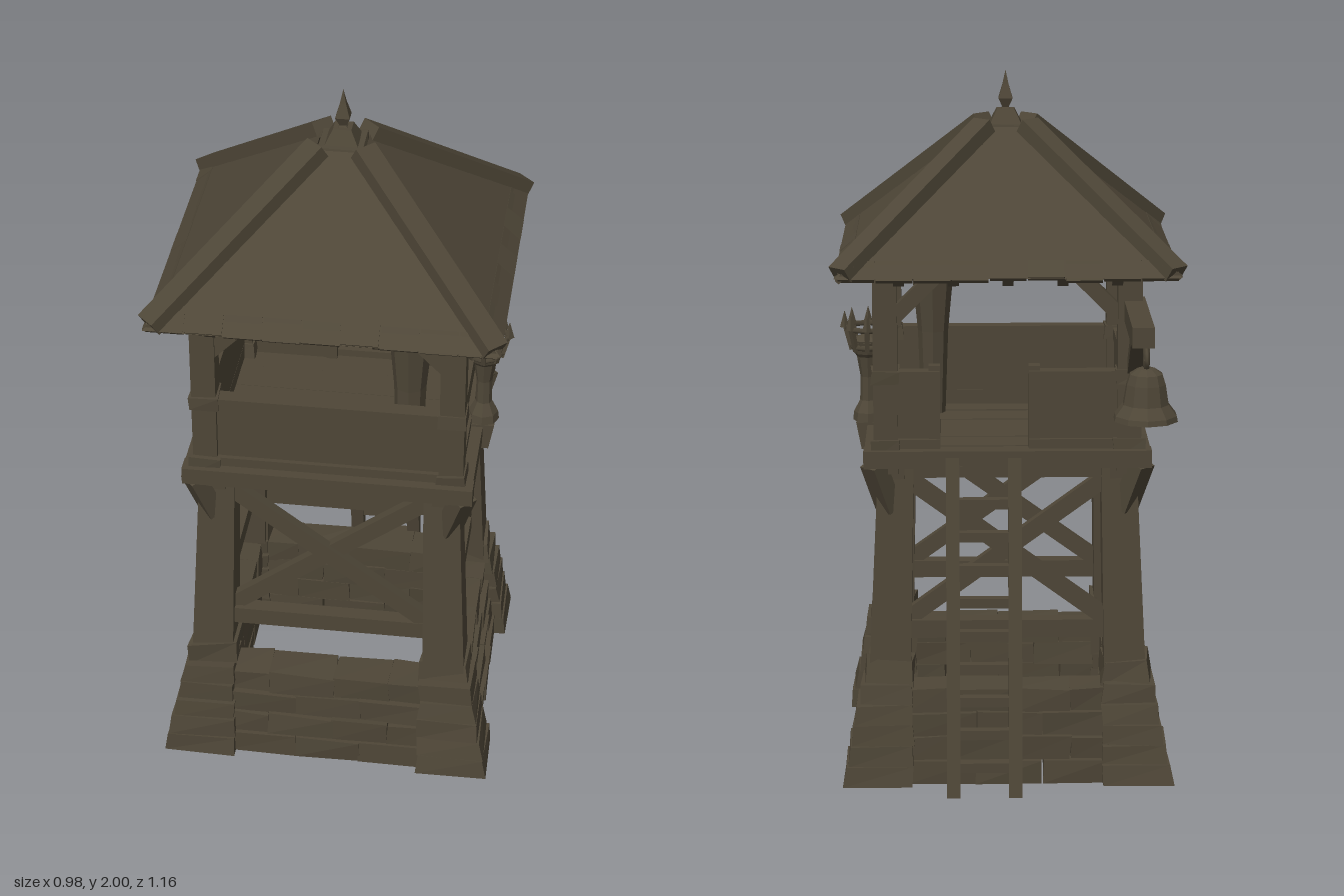
import * as THREE from 'three';

const K = 0.875; // the tower is slightly shallower than it is wide

export function createModel() {
  const timber = new THREE.MeshStandardMaterial({ color: 0x4e4637, side: THREE.DoubleSide });
  timber.name = 'weatheredBrown';
  const tower = new THREE.Group();
  tower.name = 'watchtower';

  let seed = 7;
  const rnd = () => { seed = (seed * 16807) % 2147483647; return seed / 2147483647 - 0.5; };
  const V = (x, y, z) => new THREE.Vector3(x, y, z);
  const add = (name, geo) => {
    const m = new THREE.Mesh(geo, timber);
    m.name = name;
    tower.add(m);
    return m;
  };
  const flat = (geo) => {
    const g = geo.index ? geo.toNonIndexed() : geo;
    g.computeVertexNormals();
    return g;
  };
  // Point on one of four sides: u along the side, o outward
  const at = (s, u, y, o, k = K) =>
    [V(u, y, o * k), V(o, y, -u * k), V(-u, y, -o * k), V(-o, y, u * k)][s];

  // Square timber from a to b
  const beam = (name, a, b, w = 0.05, h = w) => {
    const m = add(name, new THREE.BoxGeometry(w, h, a.distanceTo(b)));
    m.position.copy(a).add(b).multiplyScalar(0.5);
    m.lookAt(b);
    return m;
  };
  // Rough block tapering between two rectangles [cx, cz, width, depth]
  const block = (name, y0, y1, b, t = b, jitter = 0) => {
    const g = new THREE.BoxGeometry(1, 1, 1);
    const p = g.attributes.position;
    const off = Array.from({ length: 8 }, () => [rnd() * jitter, rnd() * jitter, rnd() * jitter]);
    for (let i = 0; i < p.count; i++) {
      const x = p.getX(i), y = p.getY(i), z = p.getZ(i);
      const r = y > 0 ? t : b;
      const o = off[(x > 0 ? 1 : 0) + (y > 0 ? 2 : 0) + (z > 0 ? 4 : 0)];
      p.setXYZ(i, r[0] + x * r[2] + o[0], (y > 0 ? y1 : y0) + (y0 > 0 ? o[1] : 0), r[1] + z * r[3] + o[2]);
    }
    return add(name, flat(g));
  };
  const lathe = (name, pts, n, x, y, z) => {
    const m = add(name, flat(new THREE.LatheGeometry(pts.map((q) => new THREE.Vector2(...q)), n)));
    m.position.set(x, y, z);
    return m;
  };

  // Corner parts
  for (const sx of [-1, 1]) for (const sz of [-1, 1]) {
    // Stone piers in battered courses
    for (let i = 0; i < 5; i++) {
      const rect = (y) => {
        const outer = 0.472 - y * 0.2, inner = 0.27;
        const c = (outer + inner) / 2, w = outer - inner;
        return [sx * c, sz * c * 0.905, w, w * 0.905];
      };
      block('stonePier', i * 0.058, (i + 1) * 0.058, rect(i * 0.058), rect((i + 0.8) * 0.058), 0.01);
    }
    block('stoneCollar', 0.28, 0.35, [sx * 0.342, sz * 0.342 * K, 0.135, 0.125],
      [sx * 0.336, sz * 0.336 * K, 0.125, 0.115], 0.022);
    // Leaning legs and upper posts
    block('leg', 0.28, 0.93, [sx * 0.337, sz * 0.292, 0.12, 0.115], [sx * 0.315, sz * 0.258, 0.1, 0.095]);
    block('upperPost', 0.9, 1.52, [sx * 0.342, sz * 0.294, 0.068, 0.066]);
    block('postFoot', 0.94, 1.0, [sx * 0.342, sz * 0.294, 0.085, 0.085], undefined, 0.01);
    block('postBand', 1.16, 1.2, [sx * 0.342, sz * 0.294, 0.08, 0.08], undefined, 0.006);
    // Brackets that carry the deck
    beam('deckBracket', V(sx * 0.335, 0.79, sz * 0.285), V(sx * 0.378, 0.93, sz * 0.325), 0.06, 0.05);
    // Roof hips
    beam('roofHip', V(sx * 0.46, 1.494, sz * 0.437), V(sx * 0.06, 1.85, sz * 0.057), 0.065, 0.045);
  }

  // Parts repeated on the four sides
  for (let s = 0; s < 4; s++) {
    const odd = s % 2;
    // Stone wall between the piers
    for (let r = 0; r < 4; r++) {
      const cuts = r % 2 ? [-0.29, -0.17, 0.02, 0.18, 0.29] : [-0.29, -0.09, 0.1, 0.29];
      for (let i = 0; i + 1 < cuts.length; i++) {
        const y0 = r * 0.068, outer = 0.438 - r * 0.013, inner = 0.29;
        const c = at(s, (cuts[i] + cuts[i + 1]) / 2, 0, (outer + inner) / 2, 0.905);
        const w = cuts[i + 1] - cuts[i], d = outer - inner;
        block('wallStone', y0, y0 + 0.069, [c.x, c.z, odd ? d : w, odd ? w * 0.905 : d], undefined, 0.009);
      }
    }
    // Lower tie and cross bracing
    beam('tieBeam', at(s, -0.32, 0.438, 0.335), at(s, 0.32, 0.438, 0.335), 0.045, 0.052);
    beam('crossBrace', at(s, -0.285, 0.88, 0.327), at(s, 0.285, 0.465, 0.342), 0.03, 0.048);
    beam('crossBrace', at(s, 0.285, 0.88, 0.312), at(s, -0.285, 0.465, 0.327), 0.03, 0.048);
    // Deck edge
    beam('deckBeam', at(s, -0.405, 0.948, 0.375), at(s, 0.405, 0.948, 0.375), 0.055, 0.05);
    beam('deckJoist', at(s, -0.36, 0.905, 0.315), at(s, 0.36, 0.905, 0.315), 0.05, 0.045);
    // Parapet, open at the back where the ladder arrives
    const spans = s === 2 ? [[-0.33, -0.19], [0.06, 0.33]] : [[-0.33, 0.33]];
    for (const [u0, u1] of spans) {
      beam('parapetBoard', at(s, u0, 1.065, 0.343), at(s, u1, 1.065, 0.343), 0.025, 0.23);
      beam('parapetRail', at(s, u0, 1.178, 0.35), at(s, u1, 1.178, 0.35), 0.045, 0.036);
      beam('parapetSill', at(s, u0, 0.985, 0.35), at(s, u1, 0.985, 0.35), 0.04, 0.03);
    }
    // Wall plate and knee braces under the roof
    beam('wallPlate', at(s, -0.37, 1.495, 0.342), at(s, 0.37, 1.495, 0.342), 0.055, 0.05);
    for (const e of [-1, 1])
      beam('kneeBrace', at(s, e * 0.325, 1.34, 0.342), at(s, e * 0.18, 1.485, 0.342), 0.04, 0.042);
    // Rafters
    for (const u of [-0.3, -0.15, 0, 0.15, 0.3]) {
      const end = Math.max(Math.abs(u), 0.06);
      beam('rafter', at(s, u, 1.468, 0.45, 0.95), at(s, u, 1.468 + (0.45 - end) * 0.877, end, 0.95), 0.03);
    }
  }
  // Posts either side of the ladder opening
  for (const x of [-0.075, 0.205]) block('gatePost', 0.93, 1.21, [x, -0.3, 0.032, 0.036]);

  // Deck planks
  for (let i = 0; i < 6; i++)
    block('deckPlank', 0.928, 0.953 + rnd() * 0.006, [0, -0.265 + i * 0.106, 0.74, 0.103]);

  // Overlapping roof courses
  const roofY = (h) => 1.488 + (0.472 - h) * 0.877;
  const rows = 8;
  for (let i = 0; i < rows; i++) {
    const h0 = 0.472 - (i * 0.402) / rows, h1 = h0 - 0.402 / rows;
    const y0 = roofY(h0) - 0.004, y1 = roofY(h1) + 0.004;
    const g = new THREE.CylinderGeometry((h1 - 0.004) * Math.SQRT2, (h0 + 0.004) * Math.SQRT2, y1 - y0, 4, 1, true);
    g.rotateY(Math.PI / 4).scale(1, 1, 0.95);
    add('roofCourse', flat(g)).position.y = (y0 + y1) / 2;
  }
  // Ragged shingle ends along the eaves
  for (let s = 0; s < 4; s++) for (let i = 0; i < 9; i++) {
    const u = -0.416 + i * 0.104, drop = rnd() * 0.012;
    beam('eaveShingle', at(s, u, 1.478 + drop, 0.47 + drop / 2, 0.95), at(s, u, 1.522, 0.425, 0.95), 0.1, 0.014);
  }

  // Roof cap and finial
  block('roofCap', 1.81, 1.85, [0, 0, 0.14, 0.136], [0, 0, 0.12, 0.116], 0.006);
  block('roofCapTop', 1.85, 1.89, [0, 0, 0.09, 0.088], [0, 0, 0.05, 0.05]);
  lathe('finial', [[0.03, 0], [0.013, 0.02], [0.028, 0.045], [0.012, 0.085], [0, 0.125]], 4, 0, 1.875, 0)
    .rotation.y = Math.PI / 4;

  // Ladder
  const lad = (x, t) => V(x, 0.005 + t * 0.945, -0.517 + t * 0.182);
  for (const x of [-0.02, 0.155]) beam('ladderRail', lad(x, 0), lad(x, 1), 0.038, 0.042);
  for (let i = 0; i < 10; i++) {
    const t = 0.09 + i * 0.097;
    beam('ladderRung', lad(-0.025, t), lad(0.16, t), 0.028, 0.028);
  }

  // Bell arm with its brace
  const bx = -0.355, bz = -0.583;
  beam('bellArm', V(bx, 1.368, -0.27), V(bx, 1.368, -0.688), 0.06, 0.056);
  beam('bellArmBrace', V(bx, 1.195, -0.31), V(bx, 1.35, -0.5), 0.04, 0.036);
  // Bell, clapper and hanging ring
  lathe('bell', [[0.075, 0.005], [0.09, 0], [0.087, 0.015], [0.064, 0.045], [0.055, 0.1],
    [0.046, 0.128], [0.025, 0.142], [0, 0.146]], 10, bx - 0.015, 1.12, bz);
  lathe('clapper', [[0, 0], [0.018, 0.012], [0.008, 0.03], [0.005, 0.12]], 6, bx - 0.015, 1.11, bz);
  const ring = add('bellRing', new THREE.TorusGeometry(0.026, 0.008, 5, 10));
  ring.position.set(bx - 0.015, 1.29, bz);
  ring.rotation.y = Math.PI / 2;
  block('bellHook', 1.305, 1.35, [bx - 0.015, bz, 0.018, 0.018]);

  // Brazier on the right-hand parapet
  const fx = 0.4;
  block('brazierBracket', 0.9, 0.98, [fx - 0.01, 0, 0.06, 0.08], [fx, 0, 0.07, 0.085]);
  lathe('brazierStand', [[0, 0], [0.045, 0], [0.042, 0.025], [0.024, 0.06], [0.022, 0.13],
    [0.032, 0.19], [0.04, 0.2], [0.05, 0.235], [0, 0.235]], 8, fx, 0.98, 0);
  for (const [y, r] of [[1.2, 0.048], [1.255, 0.064]]) {
    const hoop = add('brazierHoop', new THREE.TorusGeometry(r, 0.008, 4, 8));
    hoop.rotation.x = Math.PI / 2;
    hoop.position.set(fx, y, 0);
  }
  for (let i = 0; i < 8; i++) {
    const c = Math.cos(i * Math.PI / 4), d = Math.sin(i * Math.PI / 4);
    beam('brazierBar', V(fx + c * 0.046, 1.19, d * 0.046), V(fx + c * 0.066, 1.265, d * 0.066), 0.013);
    const tip = add('brazierSpike', flat(new THREE.ConeGeometry(0.014, 0.05, 4)));
    tip.position.set(fx + c * 0.066, 1.28, d * 0.066);
  }
  lathe('brazierCoals', [[0.045, 0], [0.05, 0.02], [0, 0.04]], 7, fx, 1.2, 0);

  // Tall tapered tub standing inside the parapet
  lathe('tub', [[0, 0], [0.036, 0], [0.045, 0.25], [0.062, 0.43], [0.045, 0.465], [0, 0.465]], 8, 0.212, 0.955, 0.195);

  // Centre the whole, allowing for the bell arm at the back
  tower.position.z = 0.117;
  const root = new THREE.Group();
  root.name = 'watchtowerRoot';
  root.add(tower);
  return root;
}
